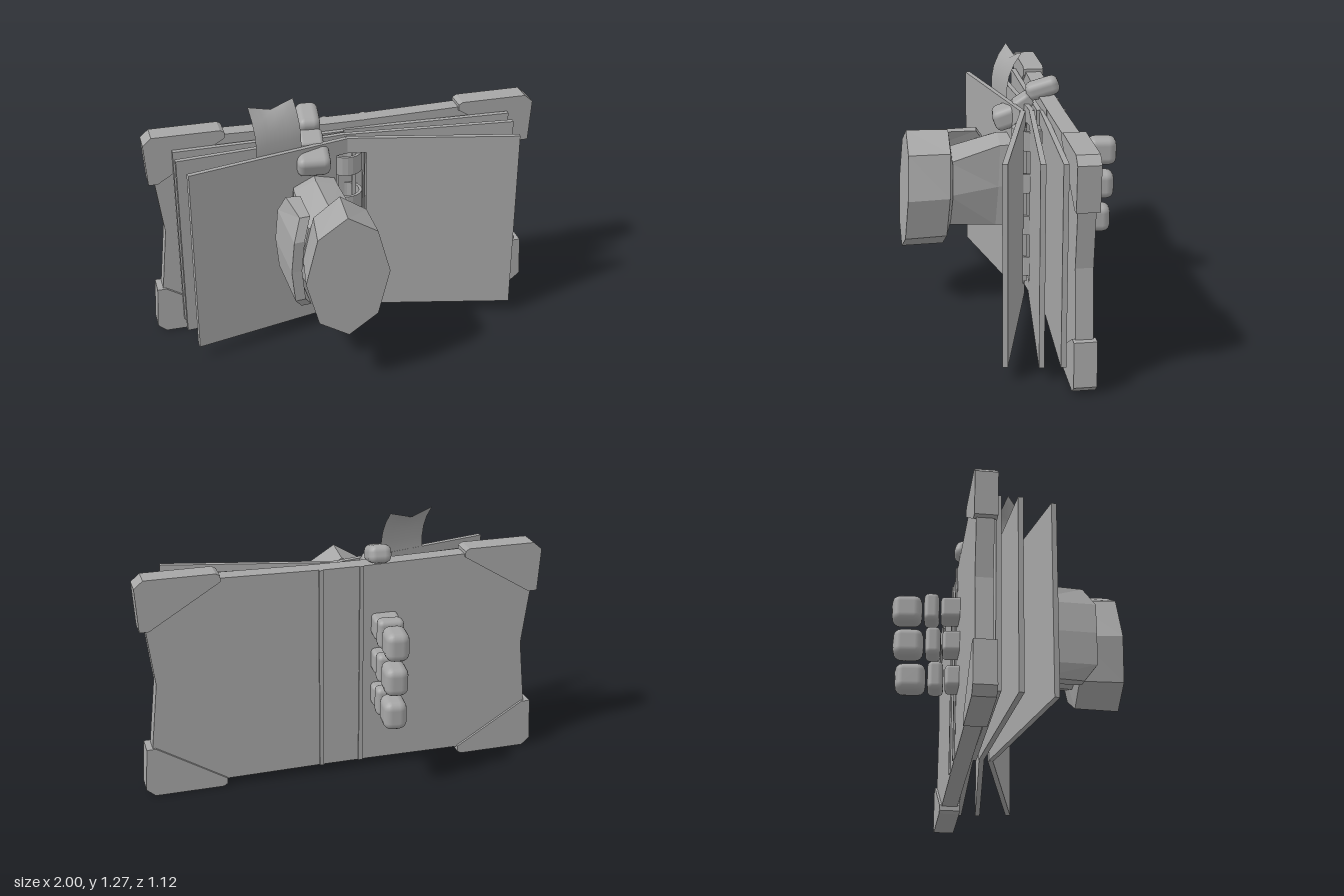
import * as THREE from 'three';
import { RoundedBoxGeometry } from 'three/addons/geometries/RoundedBoxGeometry.js';

const grey = new THREE.MeshStandardMaterial({ color: 0xa6a6a6 });
grey.name = 'plain grey';
grey.side = THREE.DoubleSide;

function add(parent, name, geometry, x = 0, y = 0, z = 0) {
  const mesh = new THREE.Mesh(geometry, grey);
  mesh.name = name;
  mesh.position.set(x, y, z);
  parent.add(mesh);
  return mesh;
}

// Flat outline with a thickness centred on z = 0
function slab(points, depth, hole) {
  const shape = new THREE.Shape(points.map(([x, y]) => new THREE.Vector2(x, y)));
  if (hole) shape.holes.push(hole);
  return new THREE.ExtrudeGeometry(shape, { depth, bevelEnabled: false, curveSegments: 10 })
    .translate(0, 0, -depth / 2);
}

// Faceted solid through rings of equal length, capped at both ends
function loft(rings) {
  const pos = [];
  const tri = (a, b, c) => pos.push(...a, ...b, ...c);
  const n = rings[0].length;
  for (let r = 0; r < rings.length - 1; r++) {
    for (let i = 0; i < n; i++) {
      const j = (i + 1) % n;
      tri(rings[r][i], rings[r][j], rings[r + 1][j]);
      tri(rings[r][i], rings[r + 1][j], rings[r + 1][i]);
    }
  }
  const first = rings[0], last = rings[rings.length - 1];
  for (let i = 1; i < n - 1; i++) {
    tri(first[0], first[i + 1], first[i]);
    tri(last[0], last[i], last[i + 1]);
  }
  const g = new THREE.BufferGeometry();
  g.setAttribute('position', new THREE.Float32BufferAttribute(pos, 3));
  g.computeVertexNormals();
  return g;
}

// Eight-sided oval ring, its plane leaning with x and y
function oval(cx, cy, z, rx, ry, boxy = 0) {
  return Array.from({ length: 8 }, (_, i) => {
    const a = (i / 8) * Math.PI * 2;
    const k = i % 2 ? 1 + boxy : 1;
    const dx = Math.cos(a) * rx * k, dy = Math.sin(a) * ry * k;
    return [cx + dx, cy + dy, z - 0.15 * dx - 0.06 * dy];
  });
}

function buildCover(root) {
  const cover = new THREE.Group();
  cover.name = 'cover';
  cover.position.z = -0.21;
  cover.rotation.y = 0.098;
  root.add(cover);
  const half = [[0.1, 0.04], [0.62, 0.035], [0.95, 0.05], [0.955, 0.25], [0.92, 0.58],
    [0.955, 0.86], [0.95, 1.07], [0.62, 1.085], [0.1, 1.075]];
  const guard = [[0.6, 1.1], [0.62, 1.112], [0.955, 1.112], [0.998, 1.075], [0.985, 0.86],
    [0.94, 0.86], [0.6, 1.07]];
  for (const s of [1, -1]) {
    add(cover, 'coverBoard', slab(half.map(([x, y]) => [x * s, y]), 0.082));
    for (const flip of [false, true]) {
      const pts = guard.map(([x, y]) => [x * s, flip ? 1.112 - y : y]);
      add(cover, 'cornerGuard', slab(pts, 0.106));
    }
  }
  // Spine panel with its two raised seams
  add(cover, 'spine', new THREE.BoxGeometry(0.22, 1.035, 0.084), 0, 0.5575, 0);
  for (const x of [-0.08, 0.12]) {
    add(cover, 'spineSeam', new THREE.BoxGeometry(0.02, 1.035, 0.02), x, 0.5575, -0.04);
  }
}

function buildPages(root) {
  // Inner z, outer x, outer z
  const sheets = [[-0.165, 0.86, -0.22], [-0.112, 0.86, -0.12], [-0.07, 0.85, 0.045],
    [-0.15, -0.85, -0.055], [-0.115, -0.84, 0.045], [-0.065, -0.79, 0.2]];
  for (const [z0, x, z] of sheets) {
    const length = Math.hypot(x, z - z0);
    const n = x > 0 ? 0.1 : 0.06;
    const page = add(root, 'page', slab([[0, 0.07], [length, 0.07], [length, 1.04], [0, 1.04],
      [0, 0.96], [n, 0.96], [n, 0.15], [0, 0.15]], 0.025), 0, 0, z0);
    page.rotation.y = Math.atan2(z0 - z, x);
  }
}

function buildBinder(root) {
  for (let i = 0; i < 4; i++) {
    const hole = new THREE.Path().absarc(0, 0, 0.07, 0, Math.PI * 2, true);
    const circle = Array.from({ length: 20 }, (_, k) => {
      const a = (k / 20) * Math.PI * 2;
      return [Math.cos(a) * 0.086, Math.sin(a) * 0.086];
    });
    add(root, 'binderRing', slab(circle, 0.1, hole), 0, 0.245 + i * 0.22, -0.1).rotation.x = Math.PI / 2;
  }
  for (const x of [-0.045, 0.04]) {
    add(root, 'binderRod', new THREE.BoxGeometry(0.02, 0.81, 0.02), x, 0.555, -0.078);
  }
}

// Ribbon rising between the pages, curling back to a forked end
function buildBookmark(root) {
  const cols = 4, rows = 8;
  const g = new THREE.PlaneGeometry(1, 1, cols, rows);
  const p = g.attributes.position;
  for (let i = 0; i < p.count; i++) {
    const u = p.getX(i) + 0.5, v = p.getY(i) + 0.5;
    const curl = Math.max(0, v - 0.6) / 0.4;
    const x = -0.455 + u * 0.225 - 0.028 * curl * curl;
    const fork = v > 0.99 ? -0.035 * (1 - Math.abs(u - 0.5) * 2) : 0;
    p.setXYZ(i, x, 0.8 + 0.47 * v + fork, -0.075 - 0.33 * (-0.455 + u * 0.225) - 0.075 * curl * curl);
  }
  g.computeVertexNormals();
  add(root, 'bookmark', g);
}

function buildHand(root) {
  const hand = new THREE.Group();
  hand.name = 'hand';
  root.add(hand);
  // Palm narrows to the wrist, then the sleeve cuff flares out
  add(hand, 'palm', loft([
    oval(-0.17, 0.63, -0.04, 0.12, 0.25, 0.2),
    oval(-0.17, 0.63, 0.07, 0.13, 0.25, 0.2),
    oval(-0.12, 0.61, 0.32, 0.16, 0.21, 0.1),
  ]));
  add(hand, 'cuff', loft([
    oval(-0.09, 0.61, 0.3, 0.14, 0.2),
    oval(-0.09, 0.615, 0.32, 0.185, 0.305),
    oval(-0.085, 0.61, 0.53, 0.205, 0.31),
  ]));

  // Bowed plate along the outer side of the hand
  const bow = [[0.37, 0.0], [0.44, -0.035], [0.6, -0.05], [0.76, -0.035], [0.86, 0.0]];
  add(hand, 'handPlate', loft(bow.map(([y, d], i) => {
    const short = i === 0 || i === 4 ? 0.06 : 0;
    return [[-0.33 + d, y, 0.1 + short], [-0.26 + d, y, 0.1 + short],
      [-0.24 + d, y, 0.42 - short], [-0.29 + d, y, 0.43 - short]].reverse();
  })));

  // Three fingers showing behind the cover
  const bone = (w, h, d, r) => new RoundedBoxGeometry(w, h, d, 2, r);
  for (const [y, z] of [[0.77, 0], [0.588, 0.01], [0.405, 0.025]]) {
    add(hand, 'fingerBase', bone(0.13, 0.11, 0.14, 0.02), -0.2, y, -0.25 + z);
    add(hand, 'fingerMiddle', bone(0.125, 0.145, 0.075, 0.025), -0.2, y + 0.005, -0.365 + z);
    add(hand, 'fingerTip', bone(0.115, 0.145, 0.148, 0.04), -0.2, y, -0.485 + z);
  }

  // Finger hooked over the top edge
  add(hand, 'topFingerBase', bone(0.165, 0.11, 0.15, 0.035), -0.175, 0.968, 0.0).rotation.x = 0.35;
  add(hand, 'topFingerMiddle', bone(0.12, 0.07, 0.1, 0.02), -0.175, 1.035, -0.075).rotation.x = 0.6;
  add(hand, 'topFingerTip', bone(0.112, 0.09, 0.17, 0.035), -0.175, 1.108, -0.175).rotation.x = 0.3;
}

export function createModel() {
  const root = new THREE.Group();
  root.name = 'heldRingBook';
  buildCover(root);
  buildPages(root);
  buildBinder(root);
  buildBookmark(root);
  buildHand(root);
  return root;
}
